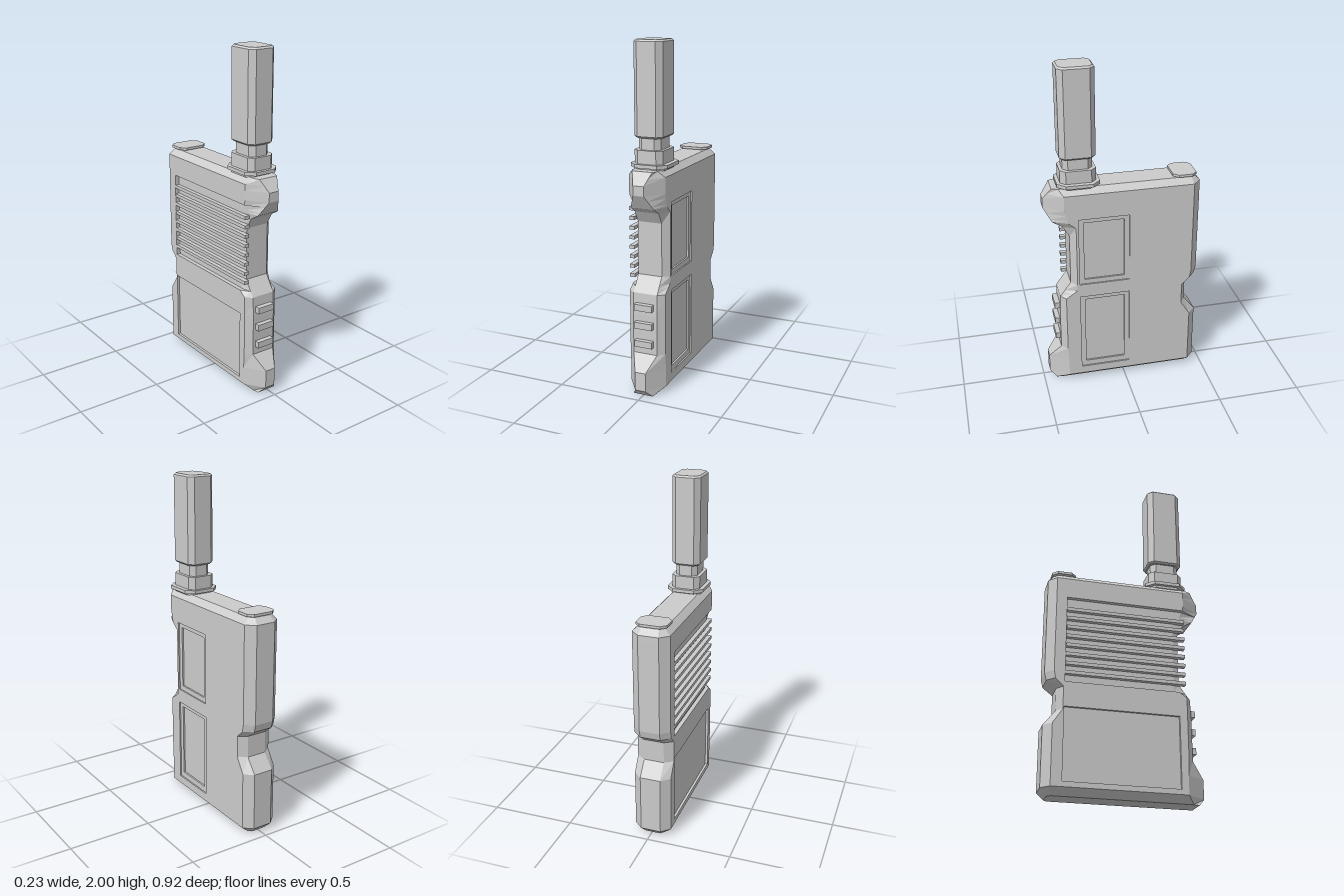
import * as THREE from 'three';

const CX = -0.005; // centre line of the case

// Case outline by height: y, side half width, back half width, back z,
// back corner z, front corner z, front half width, front z
const PROFILE = [
  [0.00, 0.065, 0.045, -0.42, -0.40, 0.39, 0.06, 0.425],
  [0.04, 0.11, 0.06, -0.458, -0.412, 0.35, 0.032, 0.462],
  [0.15, 0.11, 0.06, -0.458, -0.412, 0.35, 0.032, 0.462],
  [0.24, 0.11, 0.06, -0.458, -0.412, 0.355, 0.073, 0.39],
  [0.385, 0.11, 0.06, -0.458, -0.412, 0.355, 0.073, 0.39],
  [0.47, 0.11, 0.06, -0.39, -0.357, 0.355, 0.073, 0.39],
  [0.60, 0.11, 0.06, -0.39, -0.357, 0.355, 0.073, 0.385],
  [0.645, 0.11, 0.06, -0.447, -0.403, 0.287, 0.073, 0.352],
  [0.69, 0.11, 0.06, -0.458, -0.412, 0.285, 0.073, 0.32],
  [1.00, 0.11, 0.06, -0.458, -0.412, 0.285, 0.073, 0.32],
  [1.065, 0.11, 0.06, -0.458, -0.412, 0.285, 0.073, 0.357],
  [1.10, 0.11, 0.06, -0.458, -0.412, 0.33, 0.07, 0.415],
  [1.18, 0.11, 0.06, -0.458, -0.412, 0.35, 0.032, 0.462],
  [1.235, 0.11, 0.06, -0.458, -0.412, 0.35, 0.032, 0.462],
  [1.27, 0.11, 0.06, -0.458, -0.412, 0.35, 0.045, 0.437],
  [1.305, 0.075, 0.05, -0.425, -0.40, 0.375, 0.06, 0.412],
];

// Sunken areas as [bottom, top, depth]
const FRAMES = [[0.09, 0.60, 0.008], [0.685, 1.115, 0.008]];
const INSETS = [[0.125, 0.575, 0.018], [0.715, 1.09, 0.018]];
const GRILLE = [[0.63, 1.15, 0.025]];
const BACK_PANEL = [[0.07, 0.485, 0.015], ...GRILLE];

const depthAt = (areas, y) => {
  const a = areas.find(([lo, hi]) => y > lo && y < hi);
  return a ? a[2] : 0;
};

function profileAt(y) {
  let i = 0;
  while (i < PROFILE.length - 2 && y > PROFILE[i + 1][0]) i++;
  const a = PROFILE[i], b = PROFILE[i + 1];
  const t = Math.min(1, Math.max(0, (y - a[0]) / (b[0] - a[0])));
  return a.map((v, k) => v + (b[k] - v) * t);
}

// One horizontal ring; probe is y nudged to one side of a step
function ring(y, probe) {
  const [, w, bw, zb, zbs, zfs, fw, zf] = profileAt(y);
  const f = depthAt(FRAMES, probe), n = depthAt(INSETS, probe);
  const g = depthAt(GRILLE, probe), p = depthAt(BACK_PANEL, probe);
  const zr = Math.min(0.31, zfs);
  return [
    [fw, zf], [w, zfs],
    [w, 0.27], [w - f, 0.27], [w - f, 0.24], [w - Math.max(f, n), 0.24],
    [w - Math.max(f, n), 0], [w - f, 0], [w - f, -0.03], [w, -0.03],
    [w, zbs], [bw, zb], [-bw, zb], [-w, zbs],
    [-w, -0.35], [-w + p, -0.35], [-w + p, zr], [-w + g, zr], [-w + g, zfs],
    [-fw, zf],
  ].map(([x, z]) => new THREE.Vector3(x + CX, y, z));
}

// Lofted case with stepped recesses
function caseGeometry() {
  const steps = [...FRAMES, ...INSETS, ...BACK_PANEL].flatMap(a => [a[0], a[1]]);
  const ys = [...new Set([...PROFILE.map(p => p[0]), ...steps])].sort((a, b) => a - b);
  const rings = ys.flatMap(y => [ring(y, y - 1e-4), ring(y, y + 1e-4)]);
  const pos = [];
  const tri = (a, b, c) => {
    const area = b.clone().sub(a).cross(c.clone().sub(a)).length();
    if (area > 1e-9) for (const v of [a, b, c]) pos.push(v.x, v.y, v.z);
  };
  for (let i = 0; i < rings.length - 1; i++) {
    const lo = rings[i], hi = rings[i + 1];
    lo.forEach((a, k) => {
      const m = (k + 1) % lo.length;
      tri(a, lo[m], hi[m]);
      tri(a, hi[m], hi[k]);
    });
  }
  // end caps
  const bottom = rings[0], top = rings[rings.length - 1];
  const c0 = new THREE.Vector3(CX, bottom[0].y, 0), c1 = new THREE.Vector3(CX, top[0].y, 0);
  bottom.forEach((a, k) => {
    const m = (k + 1) % bottom.length;
    tri(c0, bottom[m], a);
    tri(c1, top[k], top[m]);
  });
  const geo = new THREE.BufferGeometry();
  geo.setAttribute('position', new THREE.Float32BufferAttribute(pos, 3));
  geo.computeVertexNormals();
  return geo;
}

// Upright block with cut corners: half sizes hx, hz, corner cut c
function cutBlock(hx, hz, c, y0, y1, bevel = 0) {
  const pts = [
    [hx - c, -hz], [hx, -hz + c], [hx, hz - c], [hx - c, hz],
    [-hx + c, hz], [-hx, hz - c], [-hx, -hz + c], [-hx + c, -hz],
  ].map(([x, z]) => new THREE.Vector2(x, z));
  const geo = new THREE.ExtrudeGeometry(new THREE.Shape(pts), {
    depth: y1 - y0 - 2 * bevel, bevelEnabled: bevel > 0, bevelSegments: 1,
    bevelSize: bevel, bevelThickness: bevel, bevelOffset: -bevel,
  });
  geo.rotateX(-Math.PI / 2);
  geo.translate(0, y0 + bevel, 0);
  return geo;
}

export function createModel() {
  const model = new THREE.Group();
  const grey = new THREE.MeshStandardMaterial({ color: 0xcccccc });
  grey.name = 'light grey';

  const add = (name, geo, x = 0, y = 0, z = 0, parent = model) => {
    const mesh = new THREE.Mesh(geo, grey);
    mesh.name = name;
    mesh.position.set(x, y, z);
    parent.add(mesh);
    return mesh;
  };

  add('case', caseGeometry());

  // Antenna with its stepped base
  const antenna = new THREE.Group();
  antenna.name = 'antenna';
  antenna.position.set(-0.002, 0, 0.258);
  model.add(antenna);
  add('antennaFoot', cutBlock(0.09, 0.1, 0.035, 1.30, 1.316), 0, 0, 0, antenna);
  add('antennaPlate', cutBlock(0.11, 0.123, 0.045, 1.315, 1.335), 0.003, 0, 0, antenna);
  add('antennaCollar', cutBlock(0.085, 0.103, 0.03, 1.335, 1.41), 0, 0, 0, antenna);
  add('antennaNeck', cutBlock(0.065, 0.085, 0.028, 1.41, 1.478), 0, 0, 0, antenna);
  add('antennaRod', cutBlock(0.085, 0.103, 0.03, 1.475, 2.0, 0.01), 0, 0, 0, antenna);

  // Rear knob on top
  add('knobStem', cutBlock(0.065, 0.045, 0.02, 1.295, 1.311), CX, 0, -0.365);
  add('knob', cutBlock(0.09, 0.07, 0.03, 1.31, 1.325), CX, 0, -0.365);

  // Buttons on the front edge
  for (const y of [0.305, 0.415, 0.523]) {
    add('button', new THREE.BoxGeometry(0.108, 0.038, 0.04), -0.007, y, 0.398);
  }

  // Speaker grille fins
  for (let i = 0; i < 8; i++) {
    add('grilleFin', new THREE.BoxGeometry(0.03, 0.02, 0.70), -0.10, 0.687 + i * 0.0557, 0.002);
  }
  return model;
}
